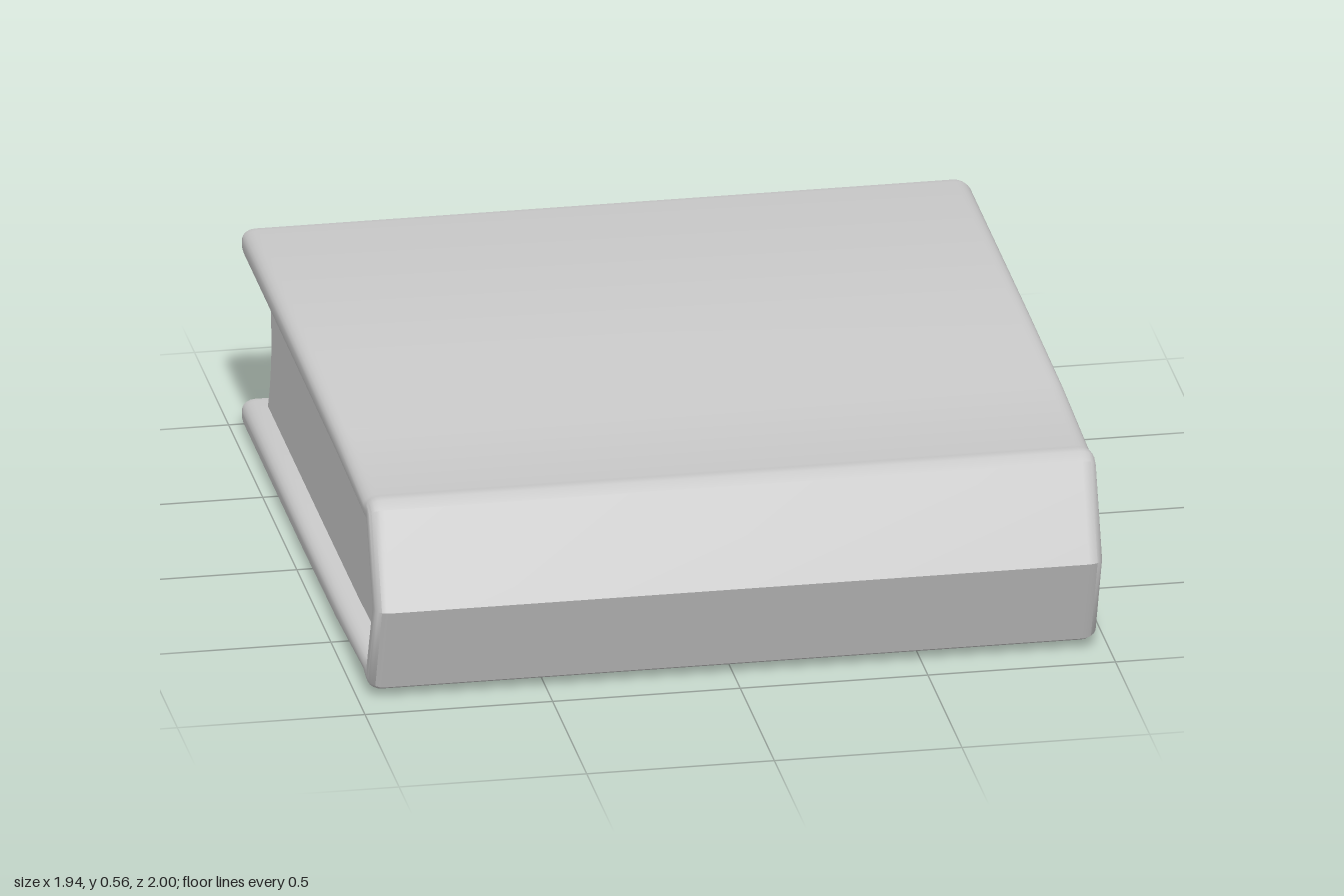
import * as THREE from 'three';
import { toCreasedNormals } from 'three/addons/utils/BufferGeometryUtils.js';

const MID = 0.285; // height of the symmetry plane

// Extrudes a (z, y) profile along x, centred on x = 0
function extrudeAcross(points, width, bevel = {}) {
  const thickness = bevel.bevelThickness ?? 0;
  const geometry = new THREE.ExtrudeGeometry(new THREE.Shape(points), {
    depth: width - 2 * thickness, bevelEnabled: thickness > 0, ...bevel,
  });
  geometry.translate(0, 0, -(width - 2 * thickness) / 2);
  geometry.rotateY(-Math.PI / 2);
  return geometry;
}

// Mirrors a half profile of [z, height above MID], ending on the plane
function mirrorProfile(half) {
  const upper = half.map(([z, h]) => new THREE.Vector2(z, MID + h));
  const lower = half.slice(0, -1).reverse().map(([z, h]) => new THREE.Vector2(z, MID - h));
  return [...upper, ...lower];
}

export function createModel() {
  const book = new THREE.Group();
  book.name = 'book';
  const material = new THREE.MeshStandardMaterial({ color: 0xcccccc });

  // Cover: two boards, hinge grooves and a ridged spine; the bevel rounds the edges
  const outer = mirrorProfile([
    [-0.97, 0.248], [-0.955, 0.252], [-0.1, 0.251], [0.4, 0.245], [0.8, 0.225],
    [0.835, 0.235], [0.862, 0.237], [0.876, 0.23], [0.968, 0],
  ]);
  const inner = mirrorProfile([
    [-0.97, 0.236], [-0.955, 0.232], [-0.1, 0.231], [0.4, 0.229], [0.8, 0.218],
    [0.852, 0.22], [0.948, 0],
  ]);
  const coverGeometry = extrudeAcross([...outer, ...inner.reverse()], 1.94, {
    bevelThickness: 0.04, bevelSize: 0.03, bevelSegments: 5,
  });
  const cover = new THREE.Mesh(toCreasedNormals(coverGeometry, 0.65), material);
  cover.name = 'cover';

  // Page block: bulging toward the spine, hollow at the fore edge
  const pageProfile = [];
  const steps = 12, h = 0.215;
  for (let i = 0; i <= steps; i++) {
    const t = 1 - (2 * i) / steps;
    pageProfile.push(new THREE.Vector2(0.888 - 0.055 * t * t, MID + h * t));
  }
  for (let i = 0; i <= steps; i++) {
    const t = (2 * i) / steps - 1;
    pageProfile.push(new THREE.Vector2(-0.868 - 0.058 * t * t, MID + h * t));
  }
  const pages = new THREE.Mesh(extrudeAcross(pageProfile, 1.82), material);
  pages.name = 'pages';

  book.add(cover, pages);
  return book;
}
